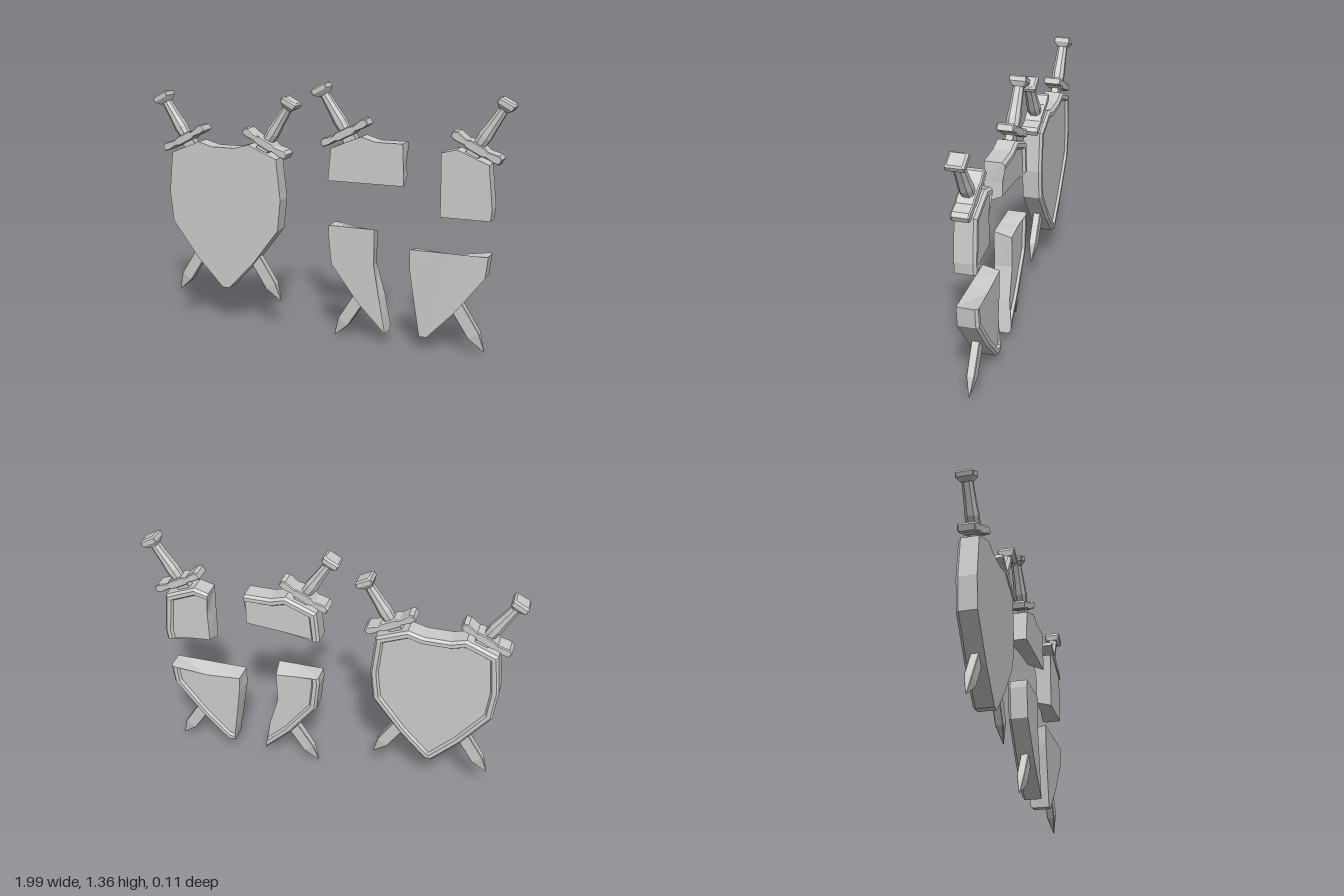
import * as THREE from 'three';

const material = new THREE.MeshStandardMaterial({ color: 0xcccccc, flatShading: true });

// Closed skin over rings of points, each counter-clockwise seen from +z, ordered from +z to -z.
function skin(rings) {
  const pos = [], n = rings[0].length;
  const tri = (a, b, c) => {
    const area = b.clone().sub(a).cross(c.clone().sub(a)).length();
    if (area > 1e-9) for (const p of [a, b, c]) pos.push(p.x, p.y, p.z);
  };
  for (let r = 0; r < rings.length - 1; r++) {
    const A = rings[r], B = rings[r + 1];
    for (let i = 0; i < n; i++) {
      const j = (i + 1) % n;
      tri(A[i], B[i], B[j]);
      tri(A[i], B[j], A[j]);
    }
  }
  const cap = (ring, flip) => {
    const flat = ring.map(p => new THREE.Vector2(p.x, p.y));
    for (const [a, b, c] of THREE.ShapeUtils.triangulateShape(flat, [])) {
      if (flip) tri(ring[a], ring[c], ring[b]);
      else tri(ring[a], ring[b], ring[c]);
    }
  };
  cap(rings[0], false);
  cap(rings[rings.length - 1], true);
  const geo = new THREE.BufferGeometry();
  geo.setAttribute('position', new THREE.Float32BufferAttribute(pos, 3));
  geo.computeVertexNormals();
  return geo;
}

function addMesh(parent, name, geo) {
  const mesh = new THREE.Mesh(geo, material);
  mesh.name = name;
  parent.add(mesh);
  return mesh;
}

// Moves the edges flagged as rim inwards by d; broken edges stay where they are.
function inset(pts, rim, d) {
  const n = pts.length;
  const edge = i => {
    const a = pts[i], b = pts[(i + 1) % n];
    const dir = new THREE.Vector2(b[0] - a[0], b[1] - a[1]).normalize();
    const off = rim[i] ? d : 0;
    return { dir, x: a[0] - dir.y * off, y: a[1] + dir.x * off };
  };
  return pts.map((p, i) => {
    const k = (i + n - 1) % n;
    if (!rim[i] && !rim[k]) return [p[0], p[1]];
    const e = edge(k), f = edge(i), cross = e.dir.cross(f.dir);
    if (Math.abs(cross) < 1e-4) return [f.x, f.y];
    const t = ((f.x - e.x) * f.dir.y - (f.y - e.y) * f.dir.x) / cross;
    return [e.x + e.dir.x * t, e.y + e.dir.y * t];
  });
}

// Shield slab: flat front, raised rim around a sunken panel on the back.
// Points: [x, y, edge after it is rim (1) or break (0), back shift x, back shift y]
const profile = [[0, 0.054], [0, -0.037], [0.012, -0.051], [0.033, -0.051], [0.043, -0.037]];
function shieldGeometry(points) {
  const n = points.length, rim = points.map(p => p[2]);
  const rings = profile.map(([d, z], r) => {
    const base = points.map(p => r ? [p[0] + (p[3] || 0), p[1] + (p[4] || 0)] : [p[0], p[1]]);
    return inset(base, rim, d).map(([x, y], i) => {
      const inside = !rim[i] && !rim[(i + n - 1) % n];
      return new THREE.Vector3(x, y, inside ? Math.max(z, -0.037) : z);
    });
  });
  return skin(rings);
}

// Right half of the whole outline, bottom to top, mirrored for the left half
const half = [[0.02, 0.208], [0.165, 0.36], [0.317, 0.56], [0.335, 0.73], [0.312, 0.95], [0.148, 1.018], [0.068, 0.995]];
const whole = [...half, ...half.map(([x, y]) => [-x, y]).reverse()].map(([x, y]) => [x, y, 1]);

const upperLeft = [[0.075, 0.995, 1], [-0.068, 0.995, 1], [-0.148, 1.018, 1], [-0.312, 0.95, 1], [-0.329, 0.778, 0],
  [-0.15, 0.778, 0, 0, 0.02], [0.084, 0.778, 0, -0.01, 0.04], [0.08, 0.89, 0, -0.01, 0]];
const upperRight = [[0.329, 0.67, 1], [0.335, 0.73, 1], [0.312, 0.95, 1], [0.148, 1.018, 1], [0.07, 0.996, 0],
  [0.072, 0.85, 0, 0.015, 0], [0.073, 0.67, 0, 0.01, 0.03], [0.2, 0.67, 0, 0, 0.02]];
const lowerLeft = [[-0.08, 0.57, 0, -0.015, 0], [-0.08, 0.77, 0, -0.01, -0.03], [-0.2, 0.77, 0, 0, -0.02],
  [-0.331, 0.77, 1], [-0.335, 0.73, 1], [-0.317, 0.56, 1], [-0.165, 0.36, 1], [-0.015, 0.21, 0], [-0.05, 0.4, 0, 0.005, 0]];
const lowerRight = [[0.02, 0.208, 1], [0.165, 0.36, 1], [0.317, 0.56, 1], [0.329, 0.67, 0], [0.12, 0.67, 0, 0, -0.03],
  [-0.078, 0.67, 0, 0.01, -0.015], [-0.078, 0.565, 0, 0.015, 0], [-0.05, 0.39, 0, 0.01, 0], [-0.02, 0.208, 1]];

// Chamfered rectangular sections [distance below pommel, width, depth, chamfer]
function loft(sections) {
  const rings = sections.map(([s, w, d, c]) => {
    const x = w / 2, y = d / 2, k = c;
    return [[x, -y + k], [x, y - k], [x - k, y], [-x + k, y], [-x, y - k], [-x, -y + k], [-x + k, -y], [x - k, -y]]
      .map(([a, b]) => new THREE.Vector3(a, b, -s));
  });
  return skin(rings).rotateX(-Math.PI / 2);
}

const LEAN = 0.566, GUARD = 0.257, LENGTH = 1.294;

// Sword lying across the shield; side -1 has its hilt at -x. Shows hilt, tip or both.
function sword(side, hilt, tip) {
  const g = new THREE.Group();
  g.name = hilt && tip ? 'sword' : hilt ? 'brokenSwordHilt' : 'brokenSwordTip';
  g.position.set(side * 0.38, 1.246, 0.007);
  g.rotation.z = -side * LEAN;
  if (hilt) {
    const pommel = addMesh(g, 'pommel', loft([[-0.022, 0.07, 0.07, 0.004], [-0.014, 0.088, 0.09, 0.004],
      [0.008, 0.088, 0.09, 0.004], [0.032, 0.05, 0.055, 0.004]]));
    pommel.rotation.z = side * 0.07;
    addMesh(g, 'grip', loft([[0.02, 0.044, 0.052, 0.013], [0.13, 0.056, 0.06, 0.016],
      [0.19, 0.066, 0.068, 0.018], [0.25, 0.056, 0.062, 0.016]]));
    // Crossguard with a heavier middle and ends
    const outline = [[0.045, -0.024], [0.06, -0.016], [0.11, -0.02], [0.14, -0.014], [0.14, 0.016], [0.118, 0.026],
      [0.06, 0.014], [0.04, 0.022]];
    const shape = new THREE.Shape([...outline, ...outline.map(([x, y]) => [-x, y]).reverse()]
      .map(([x, y]) => new THREE.Vector2(x, y)));
    const geo = new THREE.ExtrudeGeometry(shape, {
      depth: 0.078, bevelSize: 0.004, bevelOffset: -0.004, bevelThickness: 0.006, bevelSegments: 1 });
    const guard = addMesh(g, 'crossguard', geo.translate(0, 0, -0.039));
    guard.position.y = -GUARD;
    guard.rotation.z = side * 0.09;
  }
  const start = hilt ? GUARD : 0.92;
  const blade = [[start, 0.072, 0.044, 0.003]];
  if (tip) blade.push([LENGTH - 0.1, 0.068, 0.04, 0.003], [LENGTH, 0.004, 0.004, 0.001]);
  else blade.push([0.36, 0.072, 0.044, 0.003]);
  addMesh(g, 'blade', loft(blade));
  return g;
}

export function createModel() {
  const model = new THREE.Group();
  model.name = 'shieldAndSwords';
  const piece = (name, x, y, points, swords) => {
    const g = new THREE.Group();
    g.name = name;
    g.position.set(x, y, 0);
    addMesh(g, 'shield', shieldGeometry(points));
    for (const s of swords) g.add(sword(...s));
    model.add(g);
  };
  piece('wholeShield', -0.578, 0, whole, [[-1, true, true], [1, true, true]]);
  piece('upperLeftFragment', 0.358, 0.082, upperLeft, [[-1, true, false]]);
  piece('upperRightFragment', 0.562, 0.049, upperRight, [[1, true, false]]);
  piece('lowerLeftFragment', 0.367, -0.148, lowerLeft, [[1, false, true]]);
  piece('lowerRightFragment', 0.558, -0.134, lowerRight, [[-1, false, true]]);
  return model;
}
